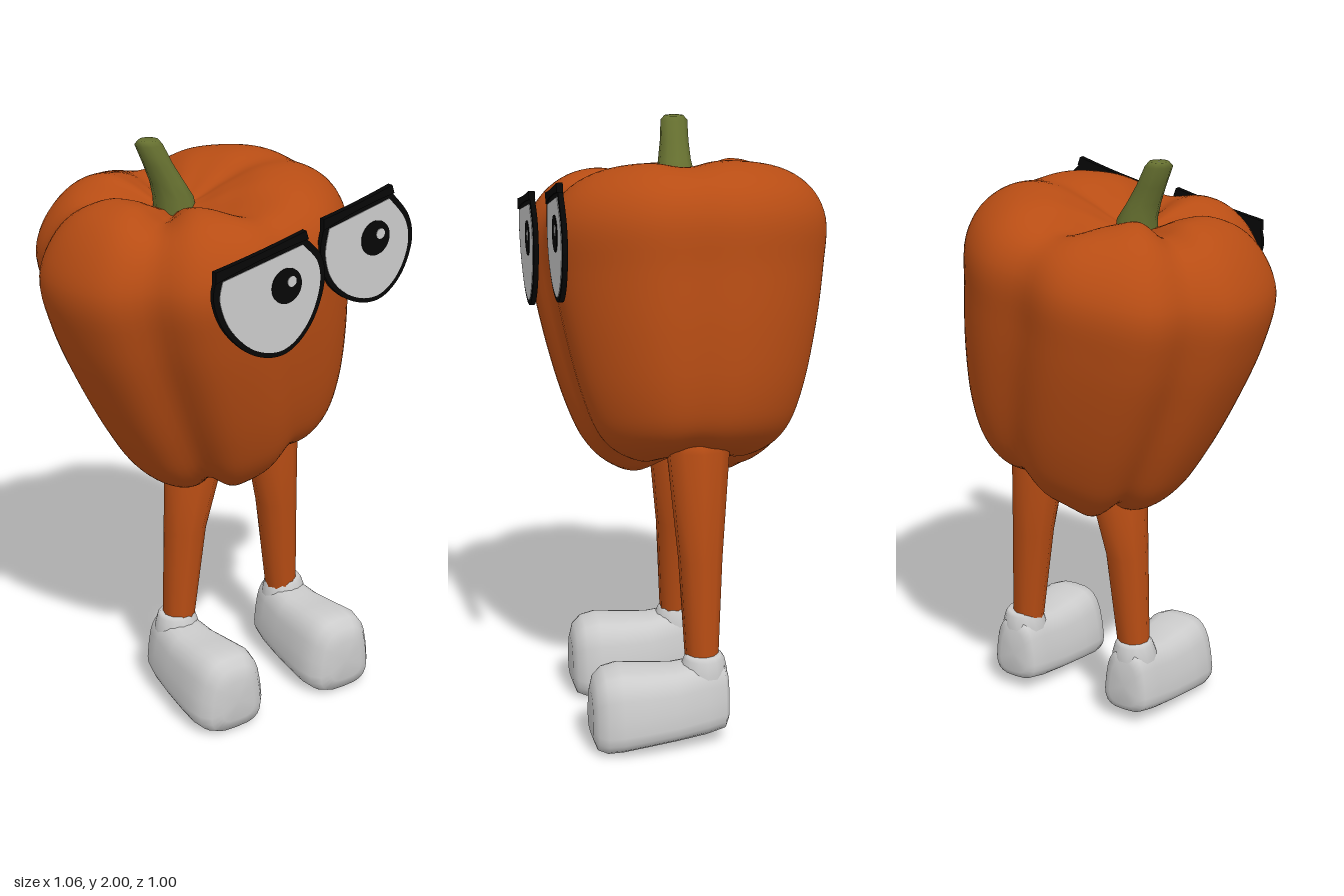
import * as THREE from 'three';

const paint = (color) => new THREE.MeshStandardMaterial({ color });
const ORANGE = paint(0xb84d14), GREEN = paint(0x667030), GREY = paint(0xcccccc), BLACK = paint(0x060606);

function addMesh(parent, name, geometry, material) {
  const mesh = new THREE.Mesh(geometry, material);
  mesh.name = name;
  parent.add(mesh);
  return mesh;
}

// Skin over closed rings of points; the rings share vertices for smooth normals
function loft(rings) {
  const n = rings[0].length, index = [];
  for (let i = 0; i < rings.length - 1; i++) {
    for (let j = 0; j < n; j++) {
      const a = i * n + j, b = i * n + (j + 1) % n;
      index.push(a, b, a + n, b, b + n, a + n);
    }
  }
  const geometry = new THREE.BufferGeometry().setFromPoints(rings.flat());
  geometry.setIndex(index);
  geometry.computeVertexNormals();
  return geometry;
}

const ring = (n, point) => Array.from({ length: n }, (_, j) => point((j / n) * Math.PI * 2));

// Round limb from stations [x, y, z, radius], top to bottom
const limb = (stations, sides) => loft(stations.map(([x, y, z, r]) =>
  ring(sides, (t) => new THREE.Vector3(x + r * Math.cos(t), y, z + r * Math.sin(t)))));

// Lobed body: leaning rings from the stem hollow down to the underside
function bodyGeometry() {
  // centre x, height, radius
  const profile = new THREE.CatmullRomCurve3([
    [-0.07, 1.77, 0.002], [-0.07, 1.785, 0.07], [-0.06, 1.83, 0.16], [-0.05, 1.862, 0.26],
    [-0.04, 1.84, 0.37], [-0.03, 1.765, 0.46], [-0.025, 1.66, 0.507], [0, 1.5, 0.495],
    [0.05, 1.3, 0.458], [0.1, 1.1, 0.402], [0.125, 0.98, 0.347], [0.135, 0.905, 0.275],
    [0.14, 0.872, 0.185], [0.14, 0.905, 0.07], [0.14, 0.915, 0.002],
  ].map((p) => new THREE.Vector3(...p)));
  // angle in degrees, width, strength of each crease; a negative one swells
  const grooves = [[80, 13, 1], [139, 11, 0.9], [211, 10, 0.8], [281, 13, 1], [5, 12, 0.4],
    [231, 13, -0.4], [122, 10, -0.15]];
  const turn = (t, at) => ((t * 180 / Math.PI - at + 540) % 360) - 180;
  const bump = (v, at, width) => Math.exp(-(((v - at) / width) ** 2));
  const rings = profile.getPoints(70).map((p, i) => {
    const f = i / 70, r = Math.max(p.z, 0.002);
    const slope = 0.12 + 0.29 * f ** 1.8;
    const top = bump(f, 0.2, 0.12), base = bump(f, 0.84, 0.1);
    const spread = 1 + 0.35 * top;
    return ring(96, (t) => {
      const g = grooves.reduce((sum, [at, width, strength]) =>
        sum + strength * bump(turn(t, at), 0, width * spread), 0);
      // The wide lobe on the left side ends higher than the others
      const wideLobe = Math.exp(-((turn(t, 0) / 68) ** 4));
      const rr = r * (1 - (0.075 + 0.04 * f) * g);
      const x = rr * Math.cos(t);
      const y = p.y + slope * x + (0.04 * base - 0.06 * top) * g
        + 0.028 * base * wideLobe - 0.02 * top * Math.sin(t) ** 2;
      return new THREE.Vector3(p.x + x, y, rr * Math.sin(t));
    });
  });
  return loft(rings);
}

// Shoe: rounded sections from heel to toe, narrower at the top
function shoeGeometry() {
  // z, half width, bottom, top
  const stations = [
    [-0.08, 0.0005, 0.15, 0.151], [-0.08, 0.055, 0.075, 0.24], [-0.065, 0.082, 0.05, 0.275],
    [0, 0.1, 0.037, 0.284], [0.1, 0.117, 0.027, 0.268], [0.2, 0.131, 0.018, 0.273],
    [0.28, 0.137, 0.009, 0.28], [0.33, 0.125, 0.004, 0.27], [0.36, 0.1, 0.012, 0.245],
    [0.374, 0.065, 0.05, 0.2], [0.374, 0.0005, 0.125, 0.126],
  ];
  const soft = (v) => Math.sign(v) * Math.abs(v) ** 0.62;
  return loft(stations.map(([z, w, bottom, top]) => ring(24, (t) => {
    const v = soft(Math.sin(t));
    return new THREE.Vector3(w * soft(Math.cos(t)) * (0.97 - 0.17 * v),
      (top + bottom) / 2 + v * (top - bottom) / 2, z);
  })));
}

// Eye plate: straight lid from first to second point, curved below
function eyeShape(points, scale) {
  const pts = points.map(([x, y]) => new THREE.Vector2(x, y));
  const mid = pts.reduce((s, p) => s.add(p), new THREE.Vector2()).divideScalar(pts.length);
  pts.forEach((p) => p.sub(mid).multiplyScalar(scale).add(mid));
  const shape = new THREE.Shape();
  shape.moveTo(pts[0].x, pts[0].y);
  shape.lineTo(pts[1].x, pts[1].y);
  shape.splineThru([...pts.slice(2), pts[0]]);
  return shape;
}

const plate = (shape, depth) =>
  new THREE.ExtrudeGeometry(shape, { depth, bevelEnabled: false, curveSegments: 40 });

function disc(parent, name, x, y, z, radius, material) {
  const mesh = addMesh(parent, name, new THREE.CylinderGeometry(radius, radius, 0.003, 28), material);
  mesh.rotation.x = Math.PI / 2;
  mesh.position.set(x, y, z);
}

function addEye(parent, name, outline, brow, pupil, z) {
  const eye = new THREE.Group();
  eye.name = name;
  addMesh(eye, 'eyeRim', plate(eyeShape(outline, 1), 0.016), BLACK).position.z = z - 0.016;
  addMesh(eye, 'eyeWhite', plate(eyeShape(outline, 0.9), 0.002), GREY).position.z = z;
  disc(eye, 'pupil', pupil[0], pupil[1], z + 0.003, 0.057, BLACK);
  disc(eye, 'glint', pupil[0] + 0.018, pupil[1] + 0.012, z + 0.005, 0.017, GREY);
  // Brow: a thin bar that sags between its ends
  const [[x0, y0], [x1, y1]] = brow;
  const mx = (x0 + x1) / 2, my = (y0 + y1) / 2;
  const shape = new THREE.Shape();
  shape.moveTo(x0, y0 - 0.03);
  shape.quadraticCurveTo(mx, my - 0.012, x1 + 0.01, y1 - 0.02);
  shape.lineTo(x1, y1 + 0.008);
  shape.quadraticCurveTo(mx, my, x0, y0 + 0.006);
  addMesh(eye, 'brow', plate(shape, 0.02), BLACK).position.z = z - 0.016;
  parent.add(eye);
}

export function createModel() {
  const model = new THREE.Group();
  addMesh(model, 'body', bodyGeometry(), ORANGE);

  // Stem, flared where it meets the body
  addMesh(model, 'stem', limb([
    [-0.17, 2.0, -0.015, 0.001], [-0.17, 2.0, -0.015, 0.032], [-0.17, 1.985, -0.015, 0.045],
    [-0.14, 1.92, -0.01, 0.048], [-0.11, 1.86, -0.005, 0.055], [-0.085, 1.805, -0.005, 0.066],
    [-0.08, 1.74, 0, 0.07],
  ], 10), GREEN);

  // Legs and shoes, splayed to either side
  for (const [side, s, top] of [['right', -1, 0.93], ['left', 1, 1.025]]) {
    const hip = 0.15 + s * 0.155, foot = 0.15 + s * 0.225;
    addMesh(model, side + 'Leg', limb([
      [hip, top, 0, 0.001], [hip, top - 0.005, 0, 0.06], [hip, top - 0.04, 0, 0.104],
      [hip + s * 0.042, 0.62, 0, 0.073], [foot, 0.27, 0, 0.055],
    ], 10), ORANGE);
    const shoe = new THREE.Group();
    shoe.name = side + 'Shoe';
    addMesh(shoe, 'shoeBody', shoeGeometry(), GREY);
    addMesh(shoe, 'cuff', limb([
      [0, 0.3, -0.005, 0.03], [0, 0.303, -0.005, 0.058], [0, 0.29, -0.005, 0.067],
      [0, 0.25, -0.002, 0.079], [0, 0.2, 0, 0.08],
    ], 14), GREY);
    shoe.position.x = 0.155 + s * 0.235;
    model.add(shoe);
  }

  addEye(model, 'rightEye',
    [[-0.27, 1.7], [0.06, 1.77], [0.125, 1.7], [0.138, 1.61], [0.1, 1.5], [0.03, 1.425],
      [-0.05, 1.405], [-0.15, 1.44], [-0.24, 1.53], [-0.28, 1.63]],
    [[-0.275, 1.715], [0.06, 1.785]], [-0.01, 1.63], 0.499);
  addEye(model, 'leftEye',
    [[0.165, 1.78], [0.43, 1.845], [0.505, 1.76], [0.525, 1.67], [0.49, 1.57], [0.42, 1.505],
      [0.34, 1.495], [0.25, 1.53], [0.18, 1.6], [0.152, 1.69]],
    [[0.16, 1.795], [0.43, 1.86]], [0.37, 1.705], 0.458);
  return model;
}
